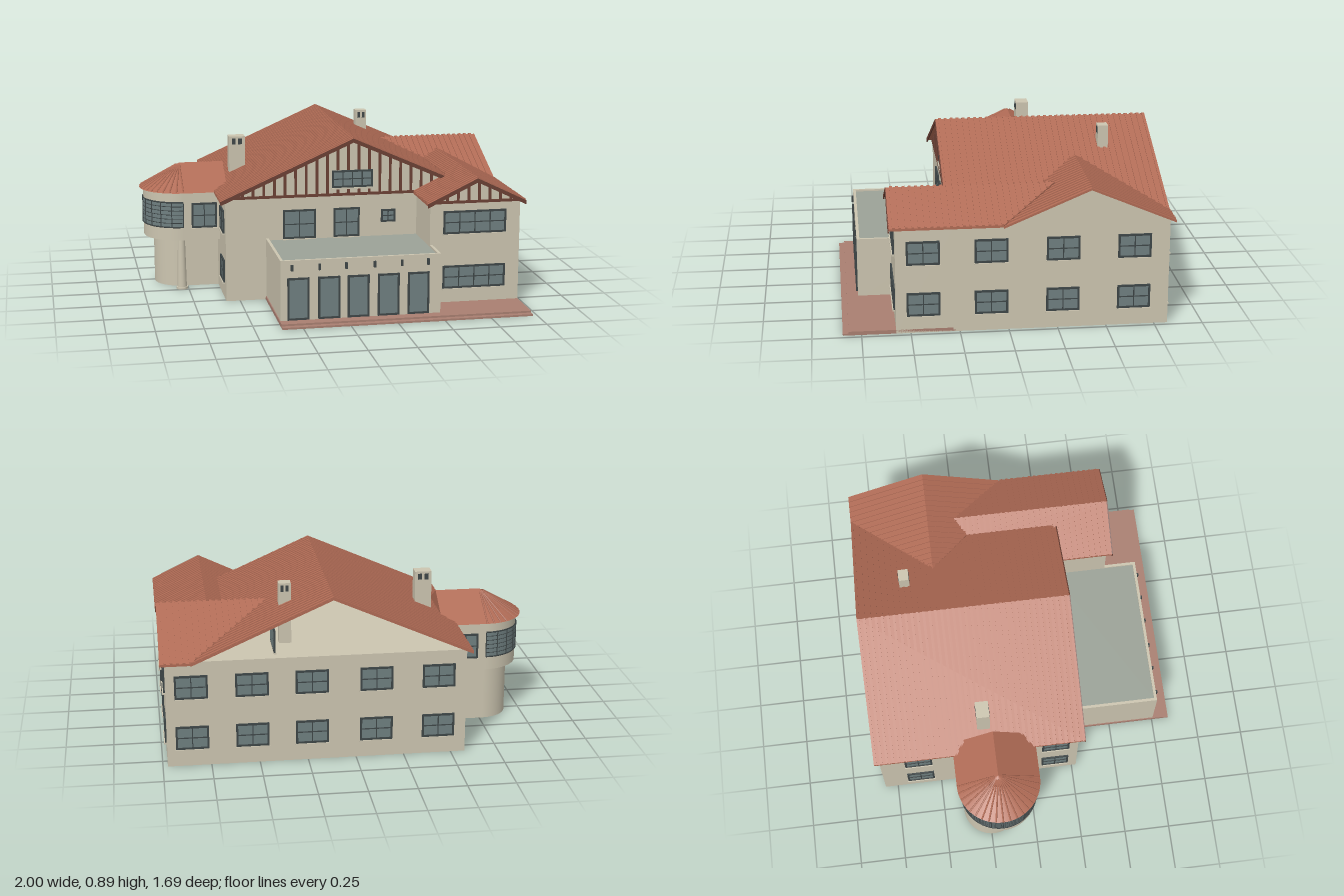
import * as THREE from 'three';
import { mergeGeometries } from 'three/addons/utils/BufferGeometryUtils.js';

const mat = (name, color, side = THREE.FrontSide) => {
  const m = new THREE.MeshStandardMaterial({ color, side });
  m.name = name;
  return m;
};

export function createModel() {
  const root = new THREE.Group();
  const wall = mat('plaster', 0xccc5b0);
  const tile = mat('roofTile', 0xb06b55);
  const timber = mat('timber', 0x6b4034);
  const glass = mat('glass', 0x6f7f80);
  const frame = mat('windowFrame', 0x3e4647);
  const paving = mat('paving', 0xa97f71);
  const flat = mat('flatRoof', 0x9ba297);

  const add = (name, geo, m, parent = root) => {
    const mesh = new THREE.Mesh(geo, m);
    mesh.name = name;
    parent.add(mesh);
    return mesh;
  };
  // box given by its minimum and maximum on each axis
  const boxGeo = (x0, x1, y0, y1, z0, z1) =>
    new THREE.BoxGeometry(x1 - x0, y1 - y0, z1 - z0).translate((x0 + x1) / 2, (y0 + y1) / 2, (z0 + z1) / 2);
  const box = (name, m, ...b) => add(name, boxGeo(...b), m);
  const shapeOf = pts => new THREE.Shape(pts.map(p => new THREE.Vector2(...p)));
  const prismZ = (pts, z0, z1) =>
    new THREE.ExtrudeGeometry(shapeOf(pts), { depth: z1 - z0, bevelEnabled: false }).translate(0, 0, z0);
  // profile of (z, y) points extruded along x
  const prismX = (pts, x0, x1) =>
    prismZ(pts.map(([z, y]) => [-z, y]), x0, x1).rotateY(Math.PI / 2);

  // ---------- walls ----------
  const EAVE = 0.565, FRONT = 0.275, WING = 0.575, BACK = -0.82, L = -0.575, R = 0.975;
  box('mainBody', wall, L, R, 0, EAVE, BACK, FRONT);
  box('wingBody', wall, 0.48, R, 0, EAVE, FRONT, WING);

  // ---------- roofs ----------
  const mainH = x => 0.88 - 0.441 * Math.abs(x - 0.12);
  const crossH = (x, z) => 0.75 - 0.424 * Math.abs(z + 0.41);
  const wingH = x => 0.70 - 0.48 * Math.abs(x - 0.73);
  // sloping slab over a plan outline of (x, z) points
  const slab = (plan, h, top, t) => {
    const g = new THREE.ExtrudeGeometry(shapeOf(plan.map(([x, z]) => [x, -z])), { depth: t, bevelEnabled: false });
    g.rotateX(-Math.PI / 2);
    const p = g.attributes.position;
    for (let i = 0; i < p.count; i++) p.setY(i, p.getY(i) + h(p.getX(i), p.getZ(i)) + top - t);
    g.computeVertexNormals();
    return g;
  };
  // slab with tile ribs running along axis 0 (x) or 1 (z), clipped to the outline
  const roof = (name, plan, h, along) => {
    const parts = [slab(plan, h, 0, 0.012)];
    const cross = 1 - along, cs = plan.map(p => p[cross]);
    const span = c => {
      const hits = [];
      plan.forEach((a, i) => {
        const b = plan[(i + 1) % plan.length];
        if ((a[cross] - c) * (b[cross] - c) < 0)
          hits.push(a[along] + (b[along] - a[along]) * (c - a[cross]) / (b[cross] - a[cross]));
      });
      return [Math.min(...hits), Math.max(...hits)];
    };
    for (let c = Math.min(...cs) + 0.008; c < Math.max(...cs) - 0.007; c += 0.032) {
      const [a, b] = span(c);
      if (!(b - a > 0.01)) continue;
      const w = 0.007;
      const q = [[a, c - w], [b, c - w], [b, c + w], [a, c + w]];
      parts.push(slab(along === 0 ? q : q.map(([u, v]) => [v, u]), h, 0.006, 0.008));
    }
    add(name, mergeGeometries(parts), tile);
  };
  roof('mainRoofLeft', [[-0.605, -0.845], [0.12, -0.845], [0.12, 0.305], [-0.605, 0.305]], mainH, 0);
  roof('mainRoofRight', [[0.12, -0.845], [0.845, -0.845], [0.845, 0.305], [0.12, 0.305]], mainH, 0);
  roof('crossRoofBack', [[0.42, -0.41], [0.845, -0.845], [1, -0.845], [1, -0.41]], crossH, 1);
  roof('crossRoofFront', [[0.42, -0.41], [1, -0.41], [1, 0.03], [0.73, -0.24], [0.64, -0.2]], crossH, 1);
  roof('wingRoofLeft', [[0.46, 0.605], [0.73, 0.605], [0.73, -0.26], [0.64, -0.2], [0.64, 0.28], [0.46, 0.28]], wingH, 0);
  roof('wingRoofRight', [[0.73, 0.605], [1, 0.605], [1, 0.03], [0.73, -0.26]], wingH, 0);

  // ---------- gables ----------
  add('mainGable', prismZ([[L, EAVE], [0.8, EAVE], [0.12, 0.87]], FRONT - 0.02, FRONT), wall);
  add('wingGable', prismZ([[0.48, EAVE], [R, EAVE], [0.73, 0.69]], WING - 0.02, WING), wall);
  add('sideGable', prismX([[BACK, EAVE], [0.01, EAVE], [-0.41, 0.74]], R - 0.02, R), wall);
  // wall of the open loft, facing left
  const loft = add('loftWall', new THREE.PlaneGeometry(1.07, 0.175), wall);
  loft.rotation.y = -Math.PI / 2;
  loft.position.set(0.42, 0.65, -0.285);

  // timber studs, bottom beam and verge boards
  const timbering = (name, h, peak, x0, x1, z, step, hole) => {
    const parts = [boxGeo(x0, x1, 0.563, 0.577, z, z + 0.009)];
    const stud = (x, y0, y1) => y1 - y0 > 0.01 && parts.push(boxGeo(x - 0.007, x + 0.007, y0, y1, z, z + 0.008));
    for (let x = x0 + step * 0.6; x < x1; x += step) {
      const top = h(x) - 0.015;
      if (hole && Math.abs(x - hole[0]) < hole[1]) {
        stud(x, 0.57, hole[2]);
        stud(x, hole[3], top);
      } else stud(x, 0.57, top);
    }
    add(name + 'Timbering', mergeGeometries(parts), timber);
    const ends = name === 'main' ? [-0.605, 0.66] : [0.46, 1];
    const edge = [[ends[0], h(ends[0])], [peak, h(peak)], [ends[1], h(ends[1])]];
    const low = edge.map(([x, y]) => [x, y - 0.022]).reverse();
    add(name + 'VergeBoard', prismZ([...edge, ...low], z + 0.028, z + 0.034), timber);
  };
  timbering('main', mainH, 0.12, L, 0.6, FRONT, 0.058, [0.12, 0.115, 0.605, 0.705]);
  timbering('wing', wingH, 0.73, 0.48, R, WING, 0.058);

  // ---------- windows ----------
  const windowAt = (name, x, y, z, turn, w, h, cols = 2, rows = 2, sill = true) => {
    const g = new THREE.Group();
    g.name = name;
    add('pane', boxGeo(-w / 2, w / 2, -h / 2, h / 2, 0, 0.004), glass, g);
    const bars = [], t = 0.005;
    for (let i = 0; i <= cols; i++) {
      const c = -w / 2 + w * i / cols, k = i % cols ? t / 2 : t;
      bars.push(boxGeo(c - k, c + k, -h / 2 - t, h / 2 + t, 0, 0.009));
    }
    for (let i = 0; i <= rows; i++) {
      const c = -h / 2 + h * i / rows, k = i % rows ? t / 2 : t;
      bars.push(boxGeo(-w / 2, w / 2, c - k, c + k, 0, 0.0085));
    }
    add('bars', mergeGeometries(bars), frame, g);
    if (sill) add('sill', boxGeo(-w / 2 - 0.008, w / 2 + 0.008, -h / 2 - 0.013, -h / 2 - 0.005, 0, 0.014), wall, g);
    g.position.set(x, y, z);
    g.rotation.y = turn;
    root.add(g);
  };
  const Q = Math.PI / 2;
  windowAt('frontWindow', -0.172, 0.415, FRONT, 0, 0.17, 0.15);
  windowAt('frontWindow', 0.088, 0.415, FRONT, 0, 0.135, 0.15);
  windowAt('smallFrontWindow', 0.32, 0.442, FRONT, 0, 0.07, 0.06);
  windowAt('gableWindow', 0.12, 0.655, FRONT, 0, 0.215, 0.085, 4);
  windowAt('loftWindow', 0.42, 0.645, -0.69, -Q, 0.2, 0.11);
  for (const y of [0.16, 0.46]) windowAt('wingWindow', 0.725, y, WING, 0, 0.335, 0.115, 4);
  for (const y of [0.155, 0.43]) {
    for (const z of [0.435, 0.09, -0.275, -0.64]) windowAt('rightWindow', R, y, z, Q, 0.16, 0.115);
    for (const x of [0.845, 0.536, 0.228, -0.105, -0.43]) windowAt('backWindow', x, y, BACK, Math.PI, 0.16, 0.115);
    for (const z of [-0.61, 0.15]) windowAt('leftWindow', L, y, z, -Q, 0.14, 0.115);
  }

  // ---------- sunroom and terrace ----------
  box('sunroom', wall, -0.355, 0.495, 0, 0.325, FRONT, 0.755);
  box('sunroomRoof', flat, -0.34, 0.48, 0.325, 0.33, FRONT, 0.74);
  box('parapetFront', wall, -0.355, 0.495, 0.325, 0.34, 0.74, 0.755);
  box('parapetLeft', wall, -0.355, -0.34, 0.325, 0.34, FRONT, 0.74);
  box('parapetRight', wall, 0.48, 0.495, 0.325, 0.34, FRONT, 0.74);
  for (const x of [-0.262, -0.1, 0.055, 0.215, 0.375])
    windowAt('sunroomDoor', x, 0.135, 0.755, 0, 0.105, 0.215, 1, 1, false);
  for (const x of [-0.295, -0.15, -0.01, 0.14, 0.285, 0.425])
    box('wallLamp', frame, x - 0.006, x + 0.006, 0.285, 0.318, 0.755, 0.767);
  box('lowerStep', paving, -0.36, R, 0, 0.01, FRONT, 0.845);
  box('terrace', paving, -0.36, R, 0.01, 0.02, FRONT + 0.01, 0.815);

  // ---------- round turret ----------
  const cx = -0.775, cz = -0.19;
  const halfDrum = (r, y0, y1, open = false) =>
    new THREE.CylinderGeometry(r, r, y1 - y0, 32, 1, open, Math.PI, Math.PI).translate(0, (y0 + y1) / 2, 0);
  add('turretDrum', halfDrum(0.203, 0.285, 0.56).translate(cx, 0, cz), wall);
  box('turretLink', wall, cx, L, 0.285, 0.56, cz - 0.203, cz + 0.203);
  add('turretBase', halfDrum(0.155, 0, 0.285).translate(-0.765, 0, -0.235), wall);
  box('turretBaseLink', wall, -0.765, L, 0, 0.285, -0.39, -0.08);
  add('turretColumn', new THREE.CylinderGeometry(0.02, 0.026, 0.285, 16).translate(-0.785, 0.1425, -0.03), wall);
  add('columnFoot', new THREE.CylinderGeometry(0.032, 0.032, 0.012, 16).translate(-0.785, 0.006, -0.03), wall);

  // curved glazing with bars
  add('turretGlass', halfDrum(0.206, 0.36, 0.5, true).translate(cx, 0, cz), glass);
  const bars = [];
  for (let i = 0; i <= 6; i++)
    bars.push(new THREE.TorusGeometry(0.207, i % 6 ? 0.002 : 0.004, 4, 28, Math.PI)
      .rotateX(Q).rotateY(-Q).translate(cx, 0.36 + 0.14 * i / 6, cz));
  for (let i = 0; i <= 10; i++) {
    const a = Math.PI + Math.PI * i / 10;
    bars.push(new THREE.BoxGeometry(0.005, 0.14, 0.005)
      .translate(cx + 0.207 * Math.sin(a), 0.43, cz + 0.207 * Math.cos(a)));
  }
  add('turretBars', mergeGeometries(bars), frame);
  windowAt('turretWindow', -0.66, 0.425, cz + 0.203, 0, 0.13, 0.13);
  windowAt('turretWindow', -0.66, 0.425, cz - 0.203, Math.PI, 0.13, 0.13);

  // half cone running into a short ridge
  add('turretCone', new THREE.CylinderGeometry(0, 0.225, 0.13, 36, 1, false, Math.PI, Math.PI)
    .translate(cx, 0.62, cz), tile);
  add('turretRidge', prismX([[cz - 0.225, 0.555], [cz + 0.225, 0.555], [cz, 0.685]], cx, -0.53), tile);
  const ribs = [];
  for (let i = 0; i <= 18; i++) {
    const a = Math.PI + Math.PI * i / 18;
    const at = (r, y) => new THREE.Vector3(cx + r * Math.sin(a), y, cz + r * Math.cos(a));
    ribs.push(new THREE.TubeGeometry(new THREE.LineCurve3(at(0.02, 0.674), at(0.223, 0.557)), 1, 0.005, 5));
  }
  add('turretRibs', mergeGeometries(ribs), tile);

  // ---------- chimneys ----------
  const chimney = (x, z, w, d, top) => {
    box('chimney', wall, x - w / 2, x + w / 2, EAVE, top, z - d / 2, z + d / 2);
    for (const s of [-1, 1]) {
      const c = x + s * w * 0.2;
      box('flueSlot', frame, c - w * 0.12, c + w * 0.12, top - 0.045, top - 0.012, z - d / 2 - 0.002, z + d / 2 + 0.002);
    }
  };
  chimney(-0.445, -0.235, 0.09, 0.07, 0.82);
  chimney(0.342, -0.572, 0.064, 0.055, 0.89);

  return root;
}
